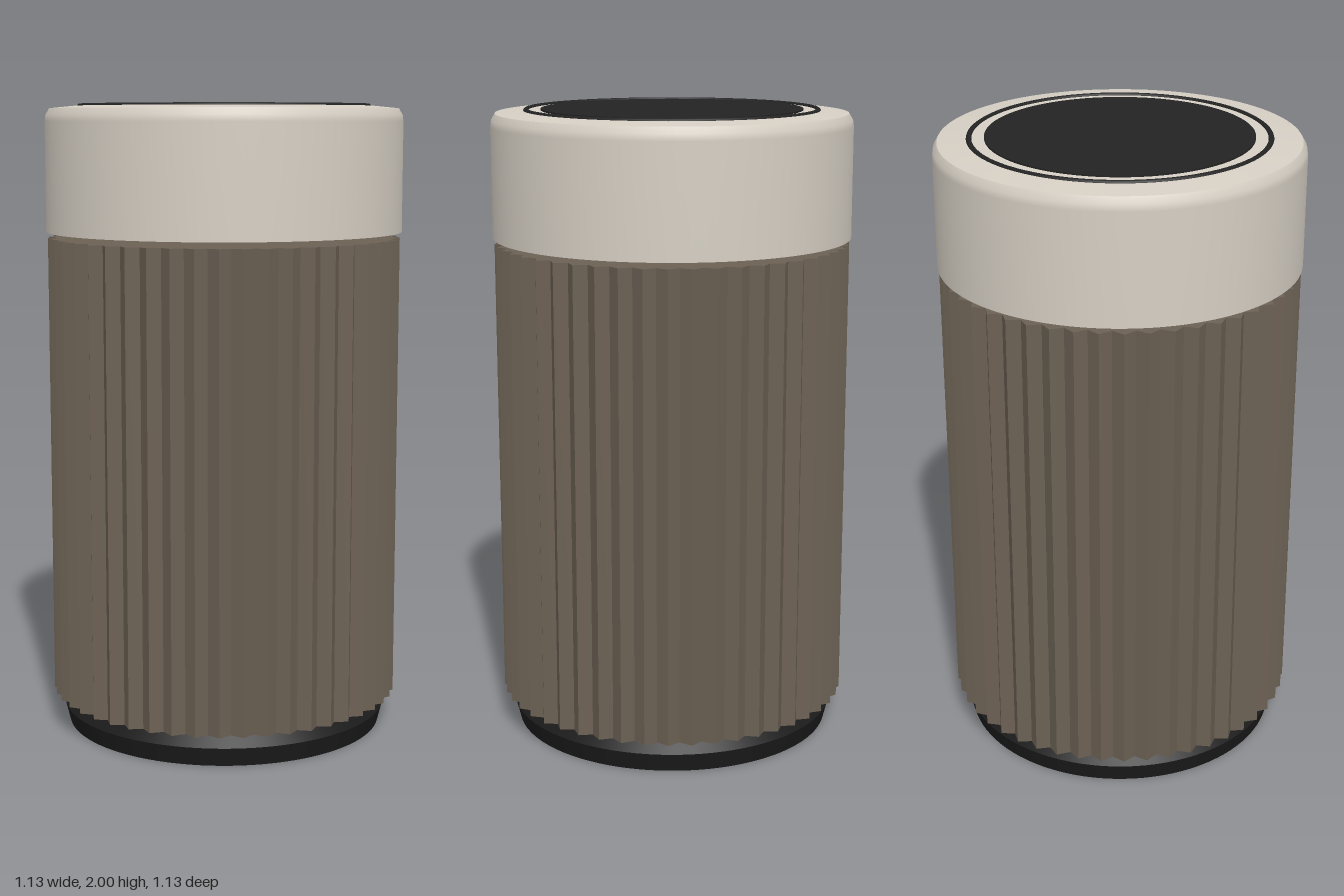
import * as THREE from 'three';

const paint = (name, color) => {
  const m = new THREE.MeshStandardMaterial({ color });
  m.name = name;
  return m;
};

// Lathe from [radius, height] pairs, bottom to top; a repeated pair makes a sharp edge
function turned(name, profile, material, segments = 96) {
  const geometry = new THREE.LatheGeometry(profile.map(([r, y]) => new THREE.Vector2(r, y)), segments);
  geometry.normalizeNormals();
  const mesh = new THREE.Mesh(geometry, material);
  mesh.name = name;
  return mesh;
}

export function createModel() {
  const group = new THREE.Group();
  group.name = 'canister';
  const cream = paint('warm cream', 0xd6cfc4);
  const brown = paint('taupe brown', 0x6c6154);
  const black = paint('soft black', 0x232323);
  const baseBlack = paint('base black', 0x1b1b1b);

  // Foot with bevelled shoulder
  group.add(turned('base', [
    [0, 0], [0.51, 0], [0.51, 0], [0.525, 0.06], [0.525, 0.06],
    [0.487, 0.105], [0.487, 0.105], [0, 0.105],
  ], baseBlack));

  // Pleated body: zigzag outline extruded upwards
  const ribs = 48;
  const outline = [];
  for (let i = 0; i < ribs * 2; i++) {
    const a = (i / ribs) * Math.PI;
    const r = i % 2 ? 0.56 : 0.533;
    outline.push(new THREE.Vector2(Math.cos(a) * r, Math.sin(a) * r));
  }
  const bodyGeometry = new THREE.ExtrudeGeometry(new THREE.Shape(outline), { depth: 1.475, bevelEnabled: false });
  bodyGeometry.rotateX(-Math.PI / 2);
  const body = new THREE.Mesh(bodyGeometry, brown);
  body.name = 'ribbedBody';
  body.position.y = 0.105;
  group.add(body);

  // Floating lid with softened upper edge
  group.add(turned('lid', [
    [0, 1.6], [0.565, 1.6], [0.565, 1.6], [0.565, 1.945], [0.562, 1.965],
    [0.55, 1.985], [0.55, 1.985], [0.47, 1.993], [0.47, 1.993], [0, 1.993],
  ], cream));

  // Thin ring inlaid around the lid
  const ring = new THREE.Mesh(new THREE.TorusGeometry(0.454, 0.009, 10, 96), black);
  ring.name = 'lidRing';
  ring.rotation.x = -Math.PI / 2;
  ring.position.y = 1.991;
  group.add(ring);

  // Dark centre plate
  const plate = new THREE.Mesh(new THREE.CylinderGeometry(0.408, 0.408, 0.008, 96), black);
  plate.name = 'lidPlate';
  plate.position.y = 1.994;
  group.add(plate);

  return group;
}
